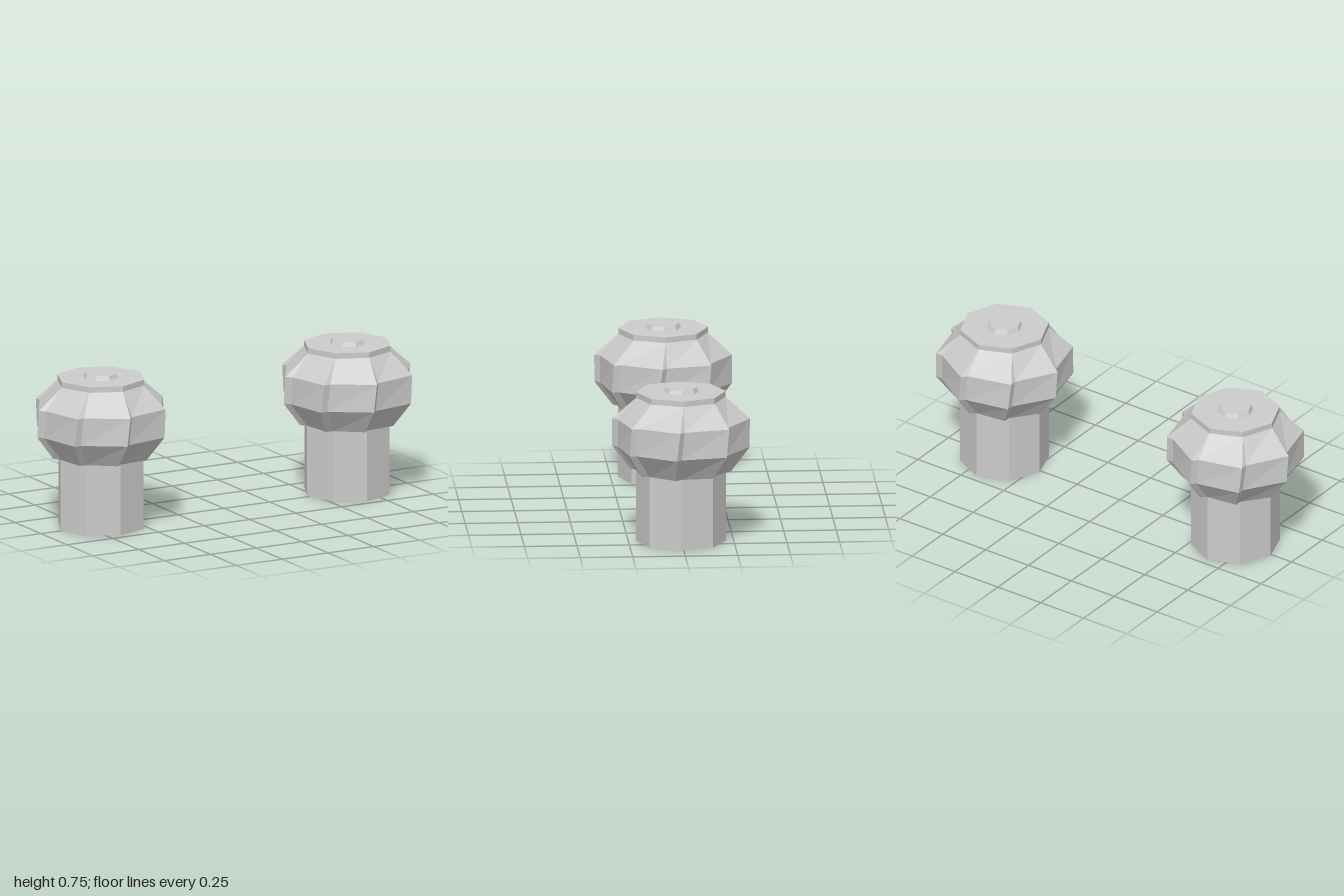
import * as THREE from 'three';

const SIDES = 8;
const STEM_TWIST = 3.3; // degrees
const material = new THREE.MeshStandardMaterial({ color: 0xcccccc, flatShading: true });

// Eight-sided tapered drum between two heights
function drum(name, rTop, rBottom, y0, y1, twist = 0) {
  const geo = new THREE.CylinderGeometry(rTop, rBottom, y1 - y0, SIDES);
  geo.rotateY(-THREE.MathUtils.degToRad(twist));
  geo.translate(0, (y0 + y1) / 2, 0);
  const mesh = new THREE.Mesh(geo, material);
  mesh.name = name;
  return mesh;
}

// Ratchet-toothed bulb: each ring alternates an inner notch and an outer tip
function bulb() {
  // height, notch radius, notch angle, tip radius, tip angle (degrees)
  const rings = [
    [0.345, 0.213, STEM_TWIST, 0.24, 9.2],
    [0.46, 0.30, 2.9, 0.327, 6.7],
    [0.595, 0.30, 0, 0.327, 4],
    [0.70, 0.213, 0, 0.213, 0],
  ];
  const n = SIDES * 2;
  const positions = [];
  const index = [];
  for (const [y, rNotch, aNotch, rTip, aTip] of rings) {
    for (let k = 0; k < SIDES; k++) {
      for (const [r, a] of [[rNotch, aNotch], [rTip, aTip]]) {
        const t = THREE.MathUtils.degToRad(a + (k * 360) / SIDES);
        positions.push(r * Math.cos(t), y, r * Math.sin(t));
      }
    }
  }
  // side panels and step faces
  for (let j = 0; j < rings.length - 1; j++) {
    for (let i = 0; i < n; i++) {
      const p = j * n + i;
      const q = j * n + ((i + 1) % n);
      // the top ring's notch and tip coincide, so its step faces are triangles
      if (j === rings.length - 2 && i % 2 === 0) index.push(p, p + n, q);
      else index.push(p, p + n, q, q, p + n, q + n);
    }
  }
  // underside of each tooth, out from the stem
  for (let i = 0; i < n; i += 2) index.push(i, i + 1, (i + 2) % n);

  const geo = new THREE.BufferGeometry();
  geo.setAttribute('position', new THREE.Float32BufferAttribute(positions, 3));
  geo.setIndex(index);
  const flat = geo.toNonIndexed();
  flat.computeVertexNormals();
  const mesh = new THREE.Mesh(flat, material);
  mesh.name = 'toothedBulb';
  return mesh;
}

function createPost(name, x) {
  const post = new THREE.Group();
  post.name = name;
  post.add(
    drum('stem', 0.213, 0.213, 0, 0.345, STEM_TWIST),
    bulb(),
    drum('cap', 0.213, 0.213, 0.70, 0.727),
    drum('topButton', 0.075, 0.086, 0.727, 0.748),
  );
  post.position.x = x;
  return post;
}

export function createModel() {
  const model = new THREE.Group();
  model.name = 'postPair';
  model.add(createPost('leftPost', 0.673), createPost('rightPost', -0.673));
  return model;
}
